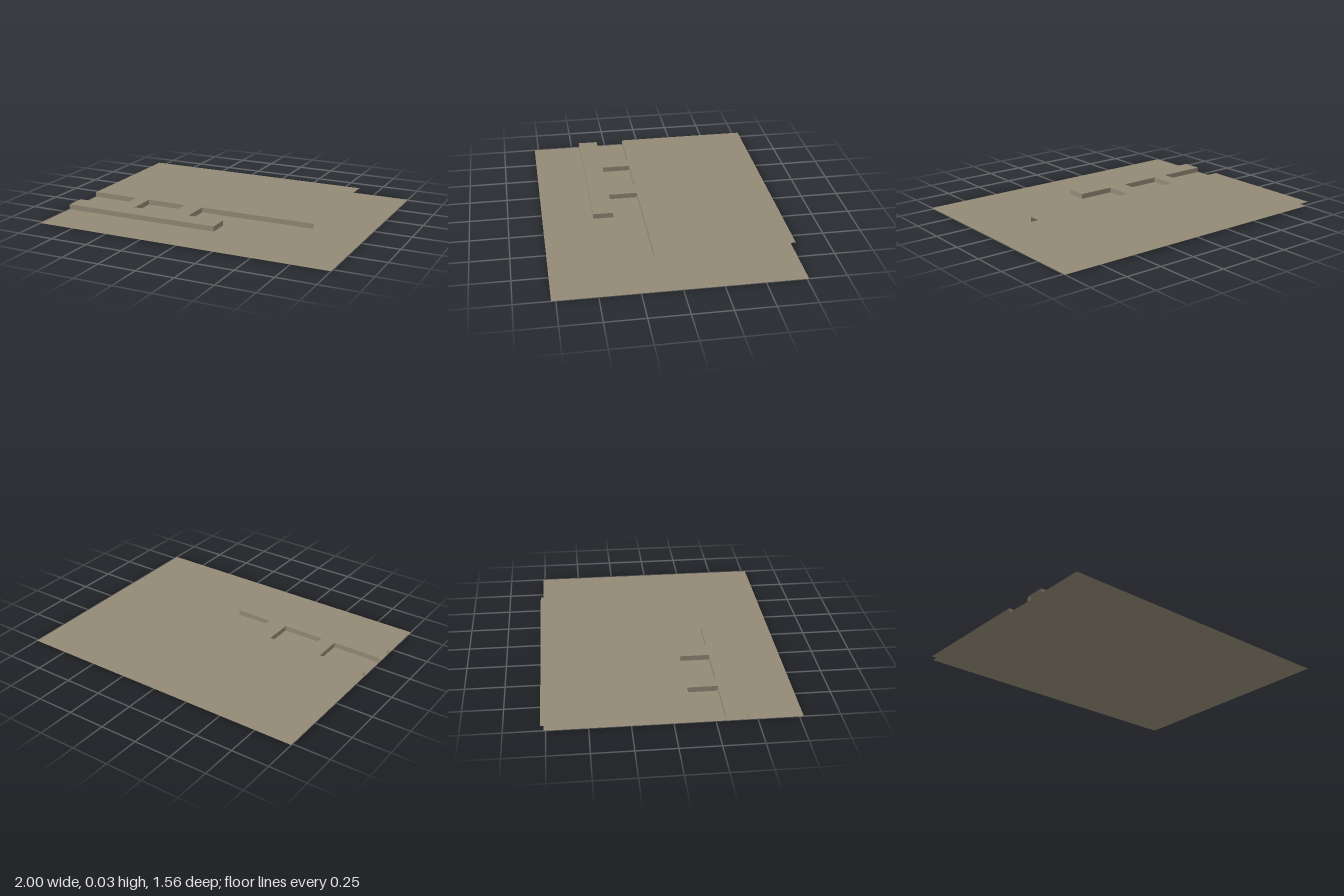
import * as THREE from 'three';

export function createModel() {
  const model = new THREE.Group();
  const stone = new THREE.MeshStandardMaterial({ color: 0x938976, side: THREE.DoubleSide });
  stone.name = 'greyBrown';
  const height = 0.034;

  const add = (name, geometry) => {
    const mesh = new THREE.Mesh(geometry, stone);
    mesh.name = name;
    model.add(mesh);
    return mesh;
  };

  // Ground sheet
  const sheet = new THREE.PlaneGeometry(2, 1.54).rotateX(-Math.PI / 2);
  add('groundSheet', sheet).position.z = 0.007;

  // Plan outlines as [x, z]: stepped edge, side slot and closed opening
  const front = [[0.64, 0.118], [-0.16, 0.118], [-0.16, 0.31], [0.09, 0.31], [0.09, 0.443], [-1, 0.443]];
  const slot = [[-1, 0.31], [-0.67, 0.31], [-0.67, 0.118], [-1, 0.118]];
  const opening = [[-0.57, 0.118], [-0.57, 0.31], [-0.29, 0.31], [-0.29, 0.118]];
  const toPoints = (list) => list.map(([x, z]) => new THREE.Vector2(x, -z));

  // Raised thin slab
  const slab = new THREE.Shape(toPoints([[-1, -0.78], [0.64, -0.78], ...front, ...slot]));
  slab.holes.push(new THREE.Path(toPoints(opening)));
  add('raisedSlab', new THREE.ShapeGeometry(slab).rotateX(-Math.PI / 2)).position.y = height;

  // Upright faces along an outline; the outer slab sides stay open
  const addWalls = (name, path) => {
    for (let i = 0; i < path.length - 1; i++) {
      const [x0, z0] = path[i];
      const [x1, z1] = path[i + 1];
      const wall = add(name, new THREE.PlaneGeometry(Math.hypot(x1 - x0, z1 - z0), height));
      wall.position.set((x0 + x1) / 2, height / 2, (z0 + z1) / 2);
      // Outward side lies to the left of the direction of travel
      wall.rotation.y = Math.atan2(z1 - z0, -(x1 - x0));
    }
  };
  addWalls('frontWall', front);
  addWalls('slotWall', slot);
  addWalls('openingWall', [...opening, opening[0]]);

  return model;
}
